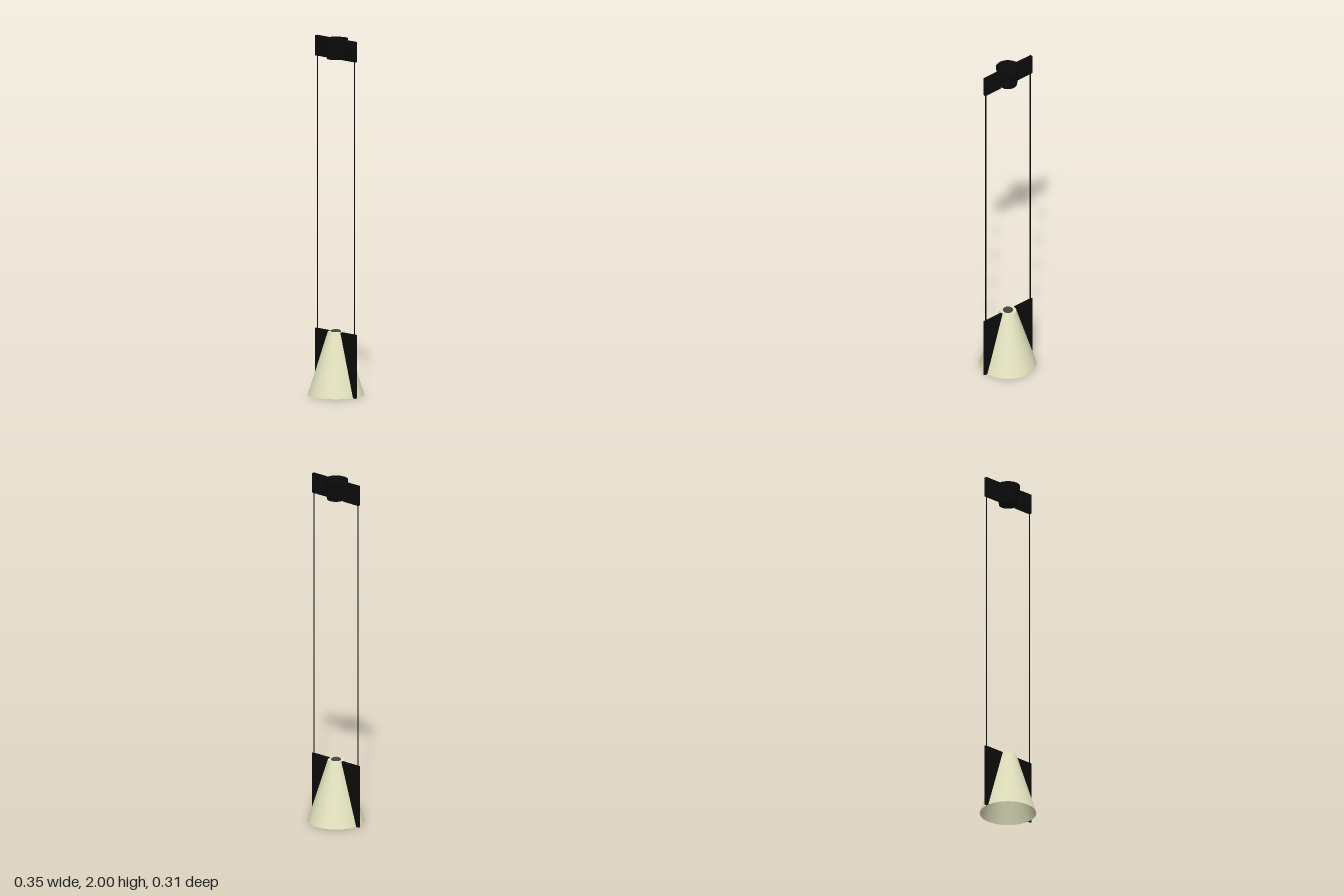
import * as THREE from 'three';

export function createModel() {
  const model = new THREE.Group();
  const black = new THREE.MeshStandardMaterial({ color: 0x0c0c0c, side: THREE.DoubleSide });
  const cream = new THREE.MeshStandardMaterial({ color: 0xe6e6c2, side: THREE.DoubleSide });
  const grey = new THREE.MeshStandardMaterial({ color: 0x444444 });

  const add = (name, geometry, material, x = 0, y = 0, z = 0) => {
    const mesh = new THREE.Mesh(geometry, material);
    mesh.name = name;
    mesh.position.set(x, y, z);
    model.add(mesh);
    return mesh;
  };

  const TOP = 0.357, R_TOP = 0.046, R_BOTTOM = 0.157;

  // Conical shade, open below, with a flat ring at the top
  add('shade', new THREE.CylinderGeometry(R_TOP, R_BOTTOM, TOP, 64, 1, true), cream, 0, TOP / 2);
  const ring = add('shadeTopRing', new THREE.RingGeometry(0.02, R_TOP, 48), cream, 0, TOP);
  ring.rotation.x = -Math.PI / 2;

  // Low domed fitting on top of the shade
  const knob = [[0.028, 0], [0.028, 0.005], [0.022, 0.01], [0.012, 0.013], [0, 0.014]];
  add('topFitting', new THREE.LatheGeometry(knob.map(p => new THREE.Vector2(...p)), 32), grey, 0, TOP - 0.001);

  // Canopy: hollow tapered cup, open at the top
  const cup = [[0, 1.886], [0.05, 1.886], [0.068, 2], [0.065, 2], [0.048, 1.89], [0, 1.89]];
  const cupGeometry = new THREE.LatheGeometry(cup.map(p => new THREE.Vector2(...p)), 48).toNonIndexed();
  cupGeometry.computeVertexNormals();
  add('canopyCup', cupGeometry, black);

  for (const [side, s] of [['left', 1], ['right', -1]]) {
    // Side fin following the slope of the shade, with a slim outer edge
    const fin = new THREE.Shape([
      new THREE.Vector2(s * R_TOP, TOP),
      new THREE.Vector2(s * R_BOTTOM, 0),
      new THREE.Vector2(s * 0.173, 0),
      new THREE.Vector2(s * 0.173, TOP),
    ]);
    add(side + 'Fin', new THREE.ExtrudeGeometry(fin, { depth: 0.014, bevelEnabled: false }), black, 0, 0, -0.007);
    add(side + 'FinEdge', new THREE.BoxGeometry(0.005, TOP, 0.007), black, s * 0.1745, TOP / 2);

    // Canopy wing beside the cup
    add(side + 'CanopyWing', new THREE.BoxGeometry(0.113, 0.114, 0.016), black, s * 0.1155, 1.943);

    // Suspension wire from fin to wing
    const length = 1.886 - TOP;
    add(side + 'Wire', new THREE.CylinderGeometry(0.003, 0.003, length, 12), black, s * 0.163, TOP + length / 2);
  }

  return model;
}
